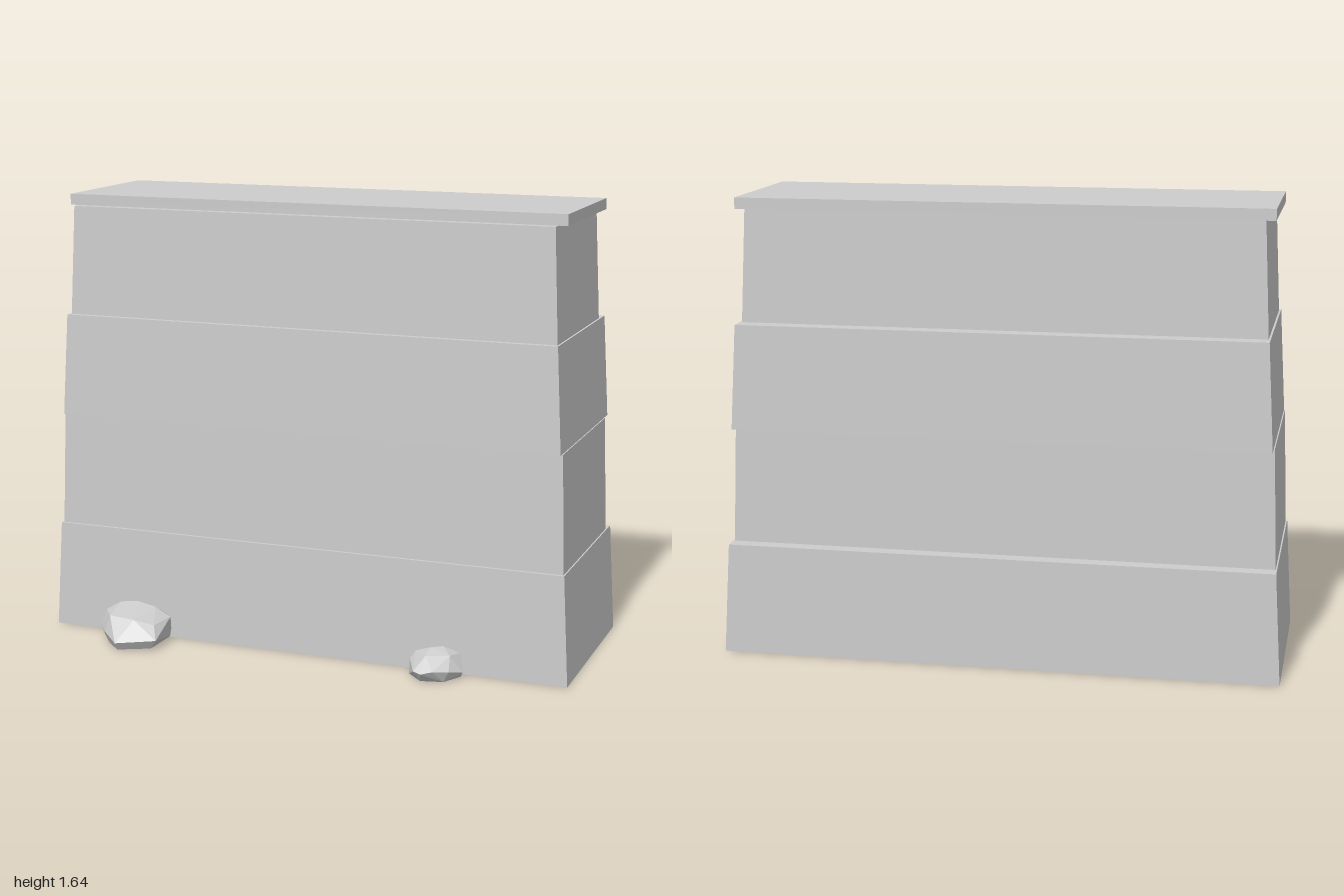
import * as THREE from 'three';
import { ConvexGeometry } from 'three/addons/geometries/ConvexGeometry.js';

const stone = new THREE.MeshStandardMaterial({ color: 0xcccccc });
stone.name = 'stone grey';

// Block whose sides lean in from its bottom outline to its top outline
function taperedBlock(name, y0, y1, bottom, top) {
  const geo = new THREE.BoxGeometry(1, 1, 1).toNonIndexed();
  const p = geo.attributes.position;
  for (let i = 0; i < p.count; i++) {
    const up = p.getY(i) > 0;
    const [halfX, back, front] = up ? top : bottom;
    p.setXYZ(i, Math.sign(p.getX(i)) * halfX, up ? y1 : y0, p.getZ(i) > 0 ? front : back);
  }
  geo.computeVertexNormals();
  const mesh = new THREE.Mesh(geo, stone);
  mesh.name = name;
  return mesh;
}

// Faceted boulder wrapped around a few corner points
function rock(name, points) {
  const mesh = new THREE.Mesh(new ConvexGeometry(points.map((p) => new THREE.Vector3(...p))), stone);
  mesh.name = name;
  return mesh;
}

export function createModel() {
  const model = new THREE.Group();
  model.name = 'stoneWall';

  // Wall courses: y range, then [half width, back z, front z] at bottom and top
  const courses = [
    ['baseCourse', 0, 0.4, [1, -0.477, 0.24], [0.977, -0.47, 0.234]],
    ['lowerCourse', 0.4, 0.825, [0.972, -0.417, 0.222], [0.957, -0.41, 0.216]],
    ['upperCourse', 0.825, 1.2, [0.953, -0.468, 0.234], [0.932, -0.461, 0.226]],
    ['topCourse', 1.2, 1.6, [0.925, -0.4, 0.204], [0.906, -0.393, 0.197]],
    ['capSlab', 1.6, 1.64, [0.94, -0.4, 0.16], [0.94, -0.4, 0.16]],
  ];
  for (const c of courses) model.add(taperedBlock(...c));

  // Boulders resting against the foot of the front face
  model.add(rock('largeRock', [
    [-0.76, 0.01, 0.26], [-0.76, 0.01, 0.32], [-0.71, 0, 0.38], [-0.64, 0.005, 0.455],
    [-0.53, 0.005, 0.4], [-0.53, 0, 0.22], [-0.72, 0, 0.2],
    [-0.77, 0.07, 0.27], [-0.77, 0.05, 0.33], [-0.72, 0.05, 0.4], [-0.64, 0.035, 0.474],
    [-0.505, 0.04, 0.41], [-0.51, 0.09, 0.27], [-0.56, 0.08, 0.2], [-0.7, 0.1, 0.2],
    [-0.76, 0.1, 0.3], [-0.7, 0.11, 0.39], [-0.6, 0.105, 0.395], [-0.53, 0.085, 0.37],
    [-0.71, 0.13, 0.28], [-0.65, 0.133, 0.26], [-0.57, 0.122, 0.27],
  ]));
  model.add(rock('smallRock', [
    [0.43, 0.005, 0.22], [0.44, 0, 0.3], [0.5, 0, 0.36], [0.58, 0, 0.34],
    [0.625, 0.005, 0.28], [0.6, 0, 0.2], [0.45, 0, 0.2],
    [0.435, 0.05, 0.28], [0.48, 0.04, 0.38], [0.51, 0.035, 0.39], [0.55, 0.045, 0.38],
    [0.6, 0.04, 0.345], [0.635, 0.025, 0.29], [0.61, 0.075, 0.23],
    [0.45, 0.075, 0.26], [0.51, 0.1, 0.28], [0.55, 0.1, 0.25], [0.59, 0.085, 0.3], [0.51, 0.085, 0.33],
    [0.53, 0.08, 0.2],
  ]));
  return model;
}
